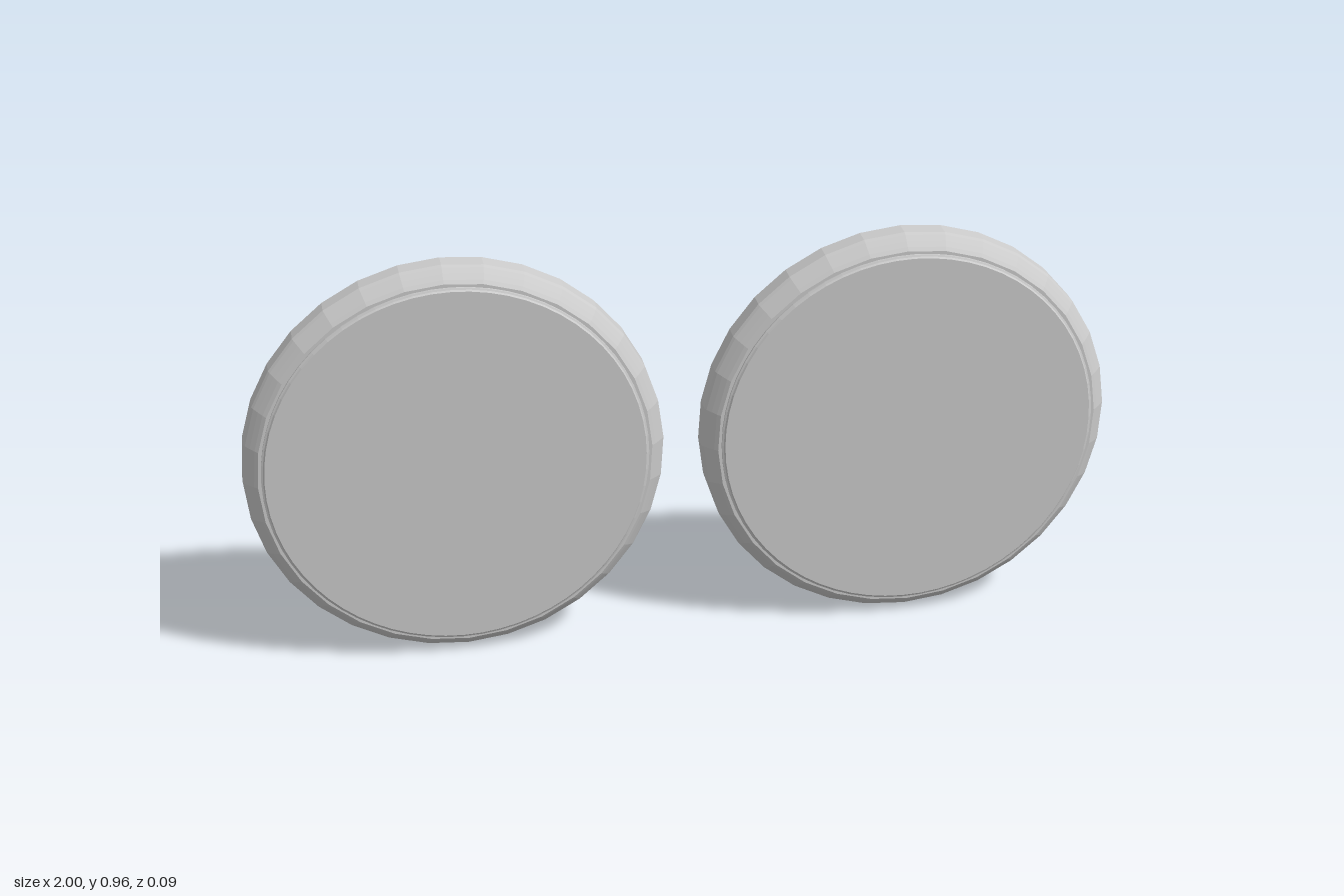
import * as THREE from 'three';

const material = new THREE.MeshStandardMaterial({ color: 0xcccccc, flatShading: true });

// Revolve [radius, z] points, listed back to front, around the z axis
function turned(name, points, sides, phase = 0) {
  const profile = points.map(([r, z]) => new THREE.Vector2(r, z));
  const geometry = new THREE.LatheGeometry(profile, sides);
  geometry.rotateX(Math.PI / 2);
  geometry.rotateZ(phase);
  const mesh = new THREE.Mesh(geometry, material);
  mesh.name = name;
  return mesh;
}

function createDisc(name) {
  const disc = new THREE.Group();
  disc.name = name;
  const phase = THREE.MathUtils.degToRad(1.8);

  // Outer housing with a rounded front shoulder
  disc.add(turned('housing', [
    [0, -0.042], [0.478, -0.042], [0.478, 0], [0.474, 0.007],
    [0.464, 0.019], [0.454, 0.03], [0.446, 0.037], [0, 0.037],
  ], 32, phase));

  // Raised front face with a small stepped edge
  disc.add(turned('frontFace', [
    [0.438, 0.034], [0.438, 0.041], [0.434, 0.043],
    [0.431, 0.047], [0, 0.047],
  ], 64));

  // Thin plate on the back
  disc.add(turned('backPlate', [
    [0, -0.046], [0.445, -0.046], [0.445, -0.04],
  ], 64));

  return disc;
}

export function createModel() {
  const model = new THREE.Group();
  model.name = 'discPair';
  for (const side of [-1, 1]) {
    const disc = createDisc(side > 0 ? 'leftDisc' : 'rightDisc');
    disc.position.set(side * 0.522, 0.478, 0);
    model.add(disc);
  }
  return model;
}
